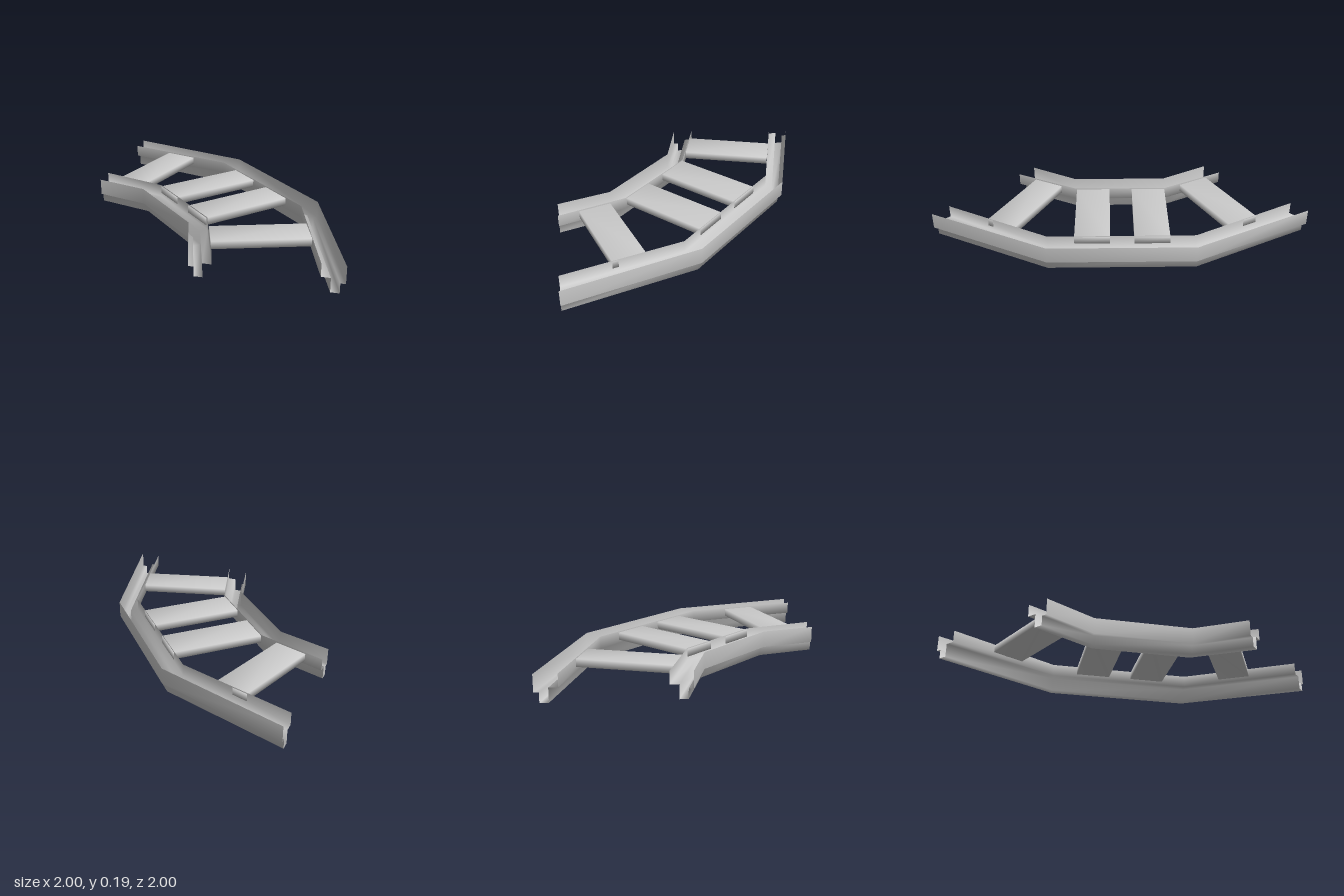
import * as THREE from 'three';
import { mergeVertices } from 'three/addons/utils/BufferGeometryUtils.js';

const material = new THREE.MeshStandardMaterial({ color: 0xcccccc, side: THREE.DoubleSide });

// Sheet channel swept between two plan polylines [x, z].
// profile: [fraction from inside edge to outside edge, height]
function rail(name, inside, outside, profile) {
  const positions = [], index = [], n = profile.length;
  inside.forEach(([x, z], i) => {
    const [ox, oz] = outside[i];
    for (const [t, y] of profile) positions.push(x + (ox - x) * t, y, z + (oz - z) * t);
  });
  for (let i = 0; i < inside.length - 1; i++) {
    for (let j = 0; j < n - 1; j++) {
      const a = i * n + j, b = a + n;
      index.push(a, a + 1, b, b, a + 1, b + 1);
    }
  }
  const geometry = new THREE.BufferGeometry();
  geometry.setAttribute('position', new THREE.Float32BufferAttribute(positions, 3));
  geometry.setIndex(index);
  geometry.computeVertexNormals();
  const mesh = new THREE.Mesh(geometry, material);
  mesh.name = name;
  return mesh;
}

// Flat cross beam with softly shaded edges
function crossBeam(x, z, length, width, angle) {
  let geometry = new THREE.BoxGeometry(length, 0.055, width);
  geometry.deleteAttribute('normal');
  geometry.deleteAttribute('uv');
  geometry = mergeVertices(geometry);
  geometry.computeVertexNormals();
  const mesh = new THREE.Mesh(geometry, material);
  mesh.position.set(x, 0.155, z);
  mesh.rotation.y = angle;
  return mesh;
}

export function createModel() {
  const group = new THREE.Group();
  group.name = 'curvedTrack';

  // Stepped channel rails, the lower groove offset away from the beams
  const top = 0.19, low = 0.07, high = 0.1;
  group.add(rail('outerRail',
    [[-1, -0.845], [-0.155, -0.605], [0.6, 0.15], [0.845, 1]],
    [[-1, -1], [-0.045, -0.71], [0.705, 0.045], [1, 1]],
    [[0, top], [0, high], [0.4, high], [0.4, 0], [0.78, 0], [0.78, low], [1, low], [1, top]]));
  group.add(rail('innerRail',
    [[-1, 0], [-0.61, 0.108], [-0.108, 0.61], [0, 1]],
    [[-1, -0.155], [-0.5, 0], [-0.005, 0.5], [0.155, 1]],
    [[0, top], [0, low], [0.22, low], [0.22, 0], [0.6, 0], [0.6, high], [1, high], [1, top]]));

  // Cross beams: x, z, length, width, angle
  const beams = [
    [-0.654, -0.401, 0.665, 0.245, 1.275],
    [-0.169, -0.145, 0.68, 0.258, Math.PI / 4],
    [0.134, 0.164, 0.68, 0.258, Math.PI / 4],
    [0.392, 0.634, 0.665, 0.24, 0.3],
  ];
  beams.forEach((b, i) => {
    const beam = crossBeam(...b);
    beam.name = `crossBeam${i + 1}`;
    group.add(beam);
  });
  return group;
}
